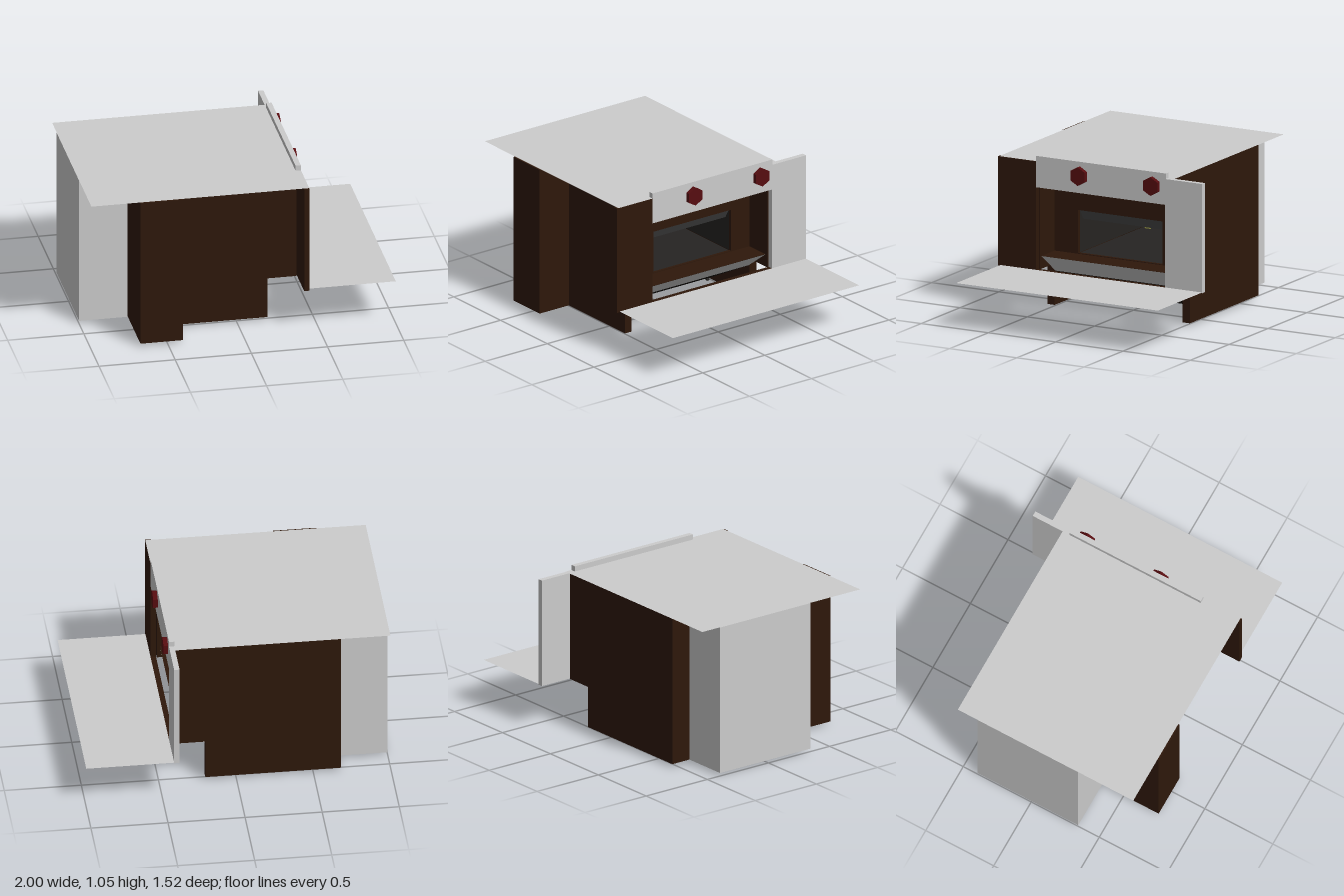
import * as THREE from 'three';

const mat = (color, side = THREE.FrontSide) =>
  new THREE.MeshStandardMaterial({ color, side, flatShading: true });

export function createModel() {
  const model = new THREE.Group();
  const grey = mat(0xcccccc), sheetGrey = mat(0xcccccc, THREE.DoubleSide);
  const brown = mat(0x2e180b), sheetBrown = mat(0x2e180b, THREE.DoubleSide);
  const sheetBlack = mat(0x130d09, THREE.DoubleSide);
  const charcoal = mat(0x262422, THREE.DoubleSide), hoodGrey = mat(0x4a4a4a, THREE.DoubleSide);
  const red = mat(0x560d10), yellow = mat(0xa3a34a, THREE.DoubleSide);

  const add = (name, geometry, material) => {
    const mesh = new THREE.Mesh(geometry, material);
    mesh.name = name;
    model.add(mesh);
    return mesh;
  };
  // box given by its limits on each axis
  const box = (name, [x0, x1], [y0, y1], [z0, z1], material) =>
    add(name, new THREE.BoxGeometry(x1 - x0, y1 - y0, z1 - z0), material)
      .position.set((x0 + x1) / 2, (y0 + y1) / 2, (z0 + z1) / 2);
  // thin sheet swept along z between two points of the x-y plane
  const sheet = (name, [xa, ya], [xb, yb], z0, z1, material) => {
    const g = new THREE.PlaneGeometry(Math.hypot(xb - xa, yb - ya), z1 - z0);
    g.rotateX(-Math.PI / 2);
    g.rotateZ(Math.atan2(yb - ya, xb - xa));
    add(name, g, material).position.set((xa + xb) / 2, (ya + yb) / 2, (z0 + z1) / 2);
  };

  // roof and serving shelf
  sheet('roof', [-1, 1.02], [0.43, 1.02], -0.54, 0.75, sheetGrey);
  sheet('shelf', [0.43, 0.3], [1, 0.3], -0.76, 0.74, sheetGrey);

  // side walls with the stepped lower corner
  const outline = new THREE.Shape([
    [-0.68, 0.02], [0.2, 0.02], [0.2, 0.295], [0.39, 0.295], [0.39, 1.018], [-0.68, 1.018],
  ].map(([x, y]) => new THREE.Vector2(x, y)));
  for (const [name, z] of [['frontWall', 0.47], ['backWall', -0.535]]) {
    const g = new THREE.ExtrudeGeometry(outline, { depth: 0.055, bevelEnabled: false });
    add(name, g, brown).position.z = z;
  }
  box('endWall', [-0.68, -0.65], [0.02, 1.018], [-0.48, 0.47], brown);

  // hollow pier beside the front wall
  box('pierFront', [-0.68, -0.4], [0.02, 1.018], [0.74, 0.76], brown);
  box('pierOuterSide', [-0.68, -0.66], [0.02, 1.018], [0.525, 0.74], brown);
  box('pierInnerSide', [-0.42, -0.4], [0.02, 1.018], [0.525, 0.74], brown);

  // box attached to the end wall
  box('endBox', [-1, -0.681], [0.02, 1.018], [-0.395, 0.345], grey);

  // wings, header and sill around the counter
  box('frontWing', [0.395, 0.43], [0.295, 1.018], [0.475, 0.76], brown);
  box('backWing', [0.395, 0.43], [0.295, 1.018], [-0.76, -0.485], grey);
  box('header', [0.395, 0.43], [0.847, 1.055], [-0.49, 0.475], grey);
  box('sill', [0.395, 0.43], [0.292, 0.299], [-0.485, 0.475], brown);

  // six-sided knobs on the header, a corner pointing up
  for (const z of [0.15, -0.39]) {
    const g = new THREE.CylinderGeometry(0.062, 0.062, 0.03, 6);
    g.rotateY(Math.PI / 6);
    g.rotateZ(-Math.PI / 2);
    add('knob', g, red).position.set(0.445, 0.963, z);
  }

  // inner wall with its opening, drawn with z across and turned to face +x
  const wall = new THREE.Shape([[-0.47, 0.38], [0.48, 0.38], [0.48, 1.018], [-0.47, 1.018]]
    .map(([a, y]) => new THREE.Vector2(a, y)));
  wall.holes.push(new THREE.Path([[-0.295, 0.385], [-0.295, 0.67], [0.33, 0.67], [0.33, 0.385]]
    .map(([a, y]) => new THREE.Vector2(a, y))));
  const wallGeometry = new THREE.ExtrudeGeometry(wall, { depth: 0.02, bevelEnabled: false });
  wallGeometry.rotateY(Math.PI / 2);
  add('innerWall', wallGeometry, brown).position.x = 0.18;

  // chamber behind the opening
  sheet('chamberHood', [0.18, 0.67], [0.14, 0.6], -0.33, 0.295, hoodGrey);
  sheet('chamberCeiling', [0.14, 0.6], [-0.64, 0.6], -0.33, 0.295, charcoal);
  sheet('chamberBack', [-0.64, 0.382], [-0.64, 0.6], -0.33, 0.295, charcoal);
  sheet('chamberFloor', [-0.64, 0.382], [0.18, 0.382], -0.33, 0.295, charcoal);
  for (const z of [-0.33, 0.295])
    add('chamberSide', new THREE.PlaneGeometry(0.82, 0.28), charcoal).position.set(-0.23, 0.525, z);

  // wavy strip hanging in the chamber
  const ribbon = new THREE.PlaneGeometry(0.045, 0.21, 1, 10);
  const p = ribbon.attributes.position;
  for (let i = 0; i < p.count; i++) p.setX(i, p.getX(i) + 0.006 * Math.sin(p.getY(i) * 40));
  ribbon.rotateY(Math.PI / 2);
  add('ribbon', ribbon, yellow).position.set(-0.6, 0.49, 0.245);

  // ledge, sloping lip, chute and floor under the counter
  sheet('ledge', [0.2, 0.38], [0.37, 0.38], -0.48, 0.47, sheetBrown);
  sheet('counterLip', [0.19, 0.245], [0.37, 0.379], -0.48, 0.47, sheetGrey);
  sheet('chute', [-0.23, 0.022], [0.19, 0.245], -0.48, 0.47, sheetBlack);
  sheet('floor', [-0.65, 0.022], [-0.23, 0.022], -0.48, 0.47, sheetBlack);

  // small feet
  for (const z of [0.28, -0.32]) box('foot', [-0.665, -0.64], [0, 0.022], [z - 0.013, z + 0.013], charcoal);
  for (const z of [0.445, -0.46]) box('stud', [-0.235, -0.215], [0.012, 0.022], [z - 0.01, z + 0.01], charcoal);

  return model;
}
